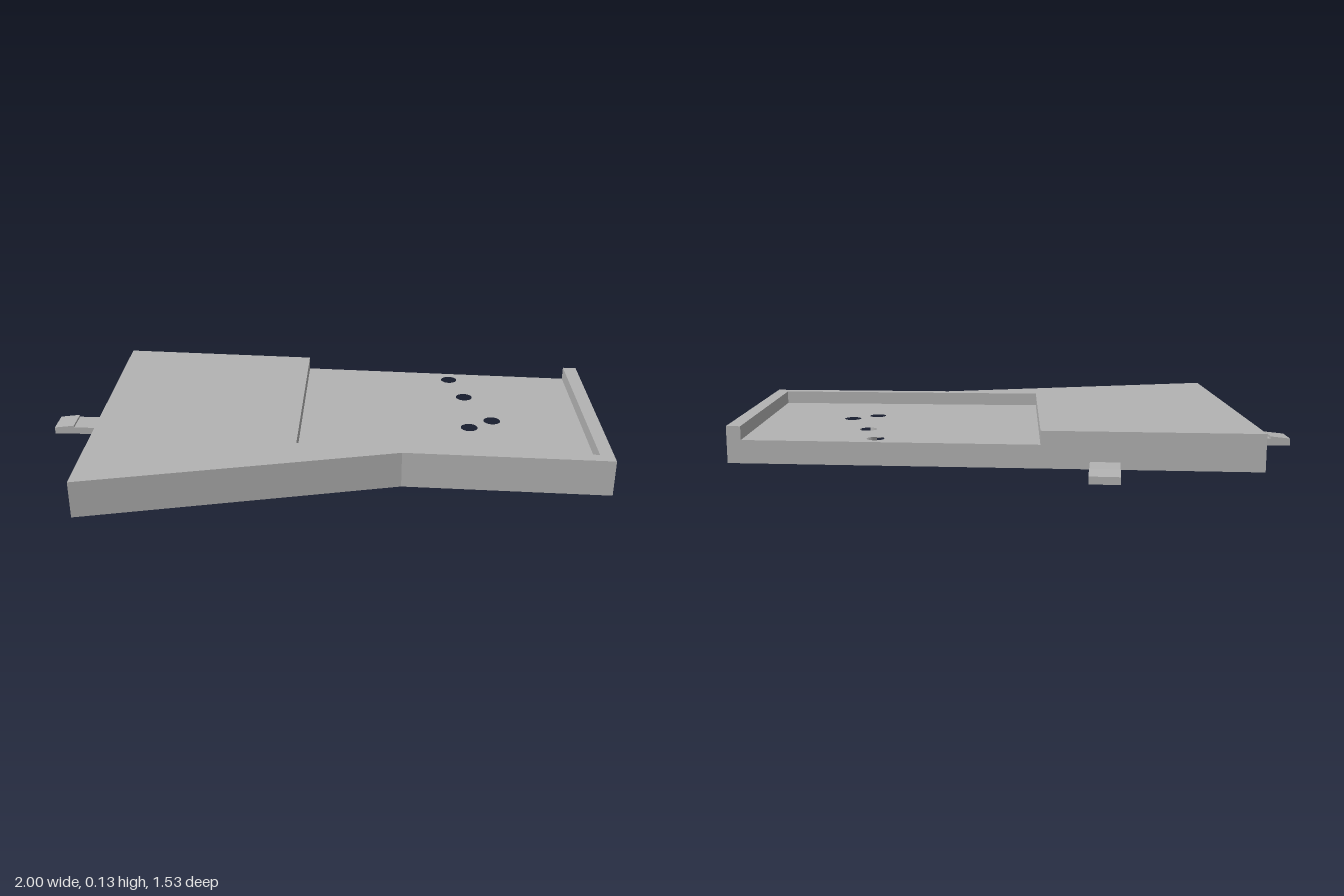
import * as THREE from 'three';

const grey = new THREE.MeshStandardMaterial({ color: 0xb2b2b2 });
grey.name = 'plain grey';

const FLOOR = 0.08, TOP = 0.127;

// Plan corners are [x, z]; extrusion runs upward from y0 to y1.
const plan = (pts) => pts.map(([x, z]) => new THREE.Vector2(x, -z));

function plate(name, pts, y0, y1, holes = []) {
  const shape = new THREE.Shape(plan(pts));
  shape.holes.push(...holes);
  const geo = new THREE.ExtrudeGeometry(shape, { depth: y1 - y0, bevelEnabled: false, curveSegments: 16 });
  geo.rotateX(-Math.PI / 2).translate(0, y0, 0);
  const mesh = new THREE.Mesh(geo, grey);
  mesh.name = name;
  return mesh;
}

// Snap tab: flat strip with a small wedge at its tip
function tab(name, [x0, z0], [x1, z1], width) {
  const dx = x1 - x0, dz = z1 - z0, len = Math.hypot(dx, dz);
  const profile = [[-0.02, 0], [len, 0], [len, 0.025], [len * 0.65, 0.033], [len * 0.65, 0.025], [-0.02, 0.025]];
  const shape = new THREE.Shape(profile.map(([x, y]) => new THREE.Vector2(x, y)));
  const geo = new THREE.ExtrudeGeometry(shape, { depth: width, bevelEnabled: false });
  geo.translate(0, 0, -width / 2).rotateY(Math.atan2(-dz, dx)).translate(x0, 0, z0);
  const mesh = new THREE.Mesh(geo, grey);
  mesh.name = name;
  return mesh;
}

function rib(name, w, d, x, z) {
  const mesh = new THREE.Mesh(new THREE.BoxGeometry(w, FLOOR, d), grey);
  mesh.position.set(x, FLOOR / 2, z);
  mesh.name = name;
  return mesh;
}

export function createModel() {
  const group = new THREE.Group();
  group.name = 'wedgePlate';

  const A = [-0.6, -0.768], B = [1, 0.027], C = [0.695, 0.76], D = [0.065, 0.46], E = [-1, 0.282];

  // Lower layer with screw holes and the underside pocket
  const holes = [[0.53, -0.14], [0.51, 0.032], [0.51, 0.256], [0.408, 0.278]].map(([x, z]) =>
    new THREE.Path().absarc(x, -z, 0.03, 0, Math.PI * 2, true));
  const pocket = [[-0.08, -0.235], [-0.467, -0.416], [-0.734, 0.285], [-0.047, 0.4], [-0.28, 0.272]];
  holes.push(new THREE.Path(plan(pocket)).closePath());
  group.add(plate('basePlate', [A, B, C, D, E], 0, FLOOR, holes));

  // Upper layer surrounds the recess, which is open at the back
  const recess = [[0.055, -0.4425], [-0.24, 0.27], [0.67, 0.7], [0.956, 0.0051]];
  group.add(plate('raisedDeckAndLip', [A, ...recess, B, C, D, E], FLOOR, TOP));

  // Crossed ribs inside the pocket
  group.add(rib('pocketRibLong', 0.035, 0.73, -0.315, 0.0));
  group.add(rib('pocketRibCross', 0.48, 0.035, -0.368, -0.08));

  group.add(tab('backTab', [-0.135, -0.538], [-0.04, -0.718], 0.1));
  group.add(tab('rightTab', [-0.768, -0.326], [-0.957, -0.4], 0.095));
  return group;
}
